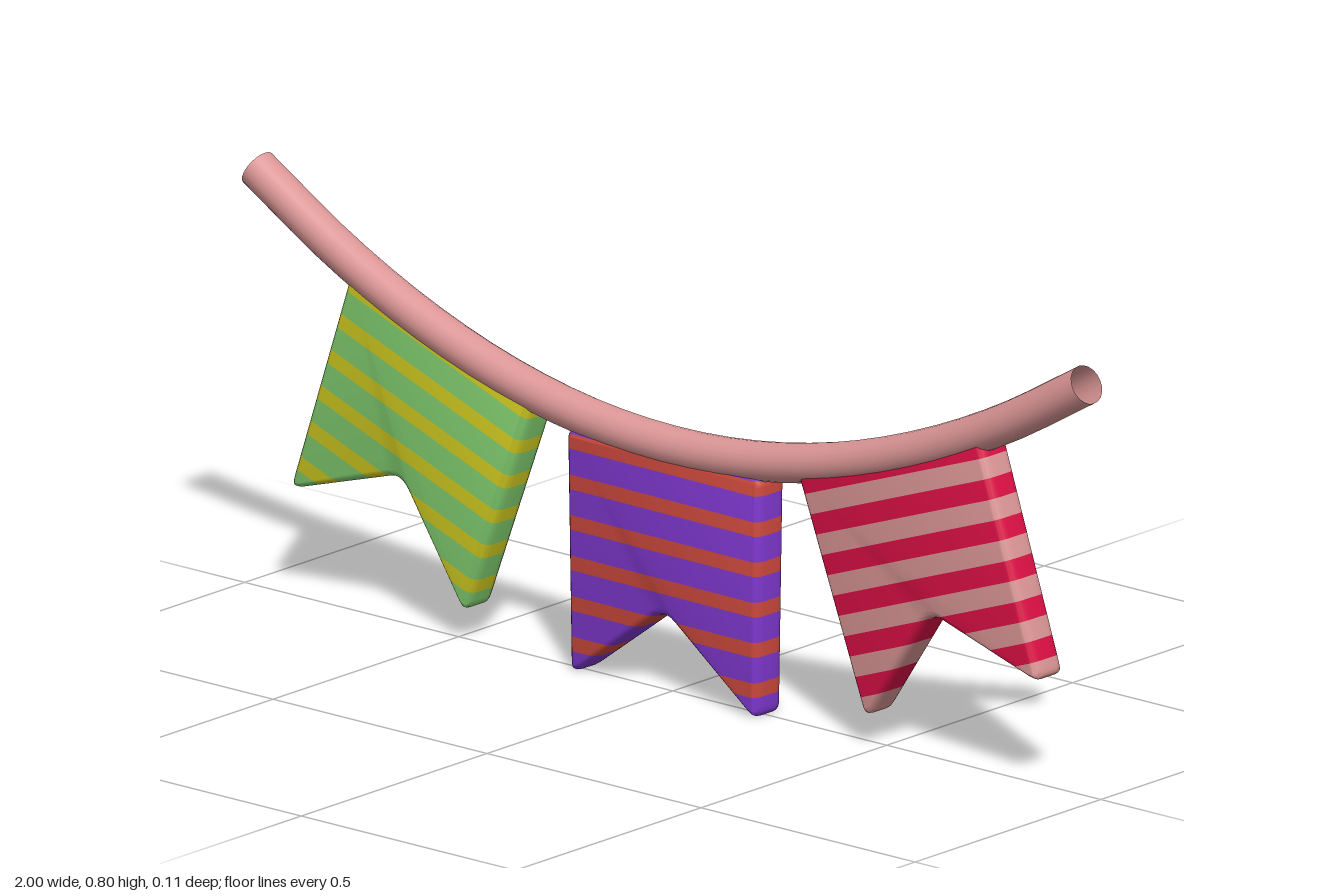
import * as THREE from 'three';
import { toCreasedNormals } from 'three/addons/utils/BufferGeometryUtils.js';

const mat = (name, color, extra = {}) => {
  const m = new THREE.MeshStandardMaterial({ color, ...extra });
  m.name = name;
  return m;
};

// Pennant outline with softly rounded corners: [x, y, rounding]
function flagShape() {
  const corners = [
    [0.23, 0.445, 0.02], [-0.23, 0.445, 0.02], [-0.221, -0.012, 0.03],
    [0, 0.152, 0.03], [0.221, -0.012, 0.03],
  ].map(([x, y, r]) => ({ p: new THREE.Vector2(x, y), r }));
  const shape = new THREE.Shape();
  corners.forEach(({ p, r }, i) => {
    const toward = (q) => q.clone().sub(p).setLength(r).add(p);
    const a = toward(corners[(i + 4) % 5].p);
    const b = toward(corners[(i + 1) % 5].p);
    if (i === 0) shape.moveTo(a.x, a.y);
    else shape.lineTo(a.x, a.y);
    shape.quadraticCurveTo(p.x, p.y, b.x, b.y);
  });
  shape.closePath();
  return shape;
}

// Keep the part of a polygon above (sign 1) or below (sign -1) a level
function clip(poly, level, sign) {
  const out = [];
  poly.forEach((a, i) => {
    const b = poly[(i + 1) % poly.length];
    const da = (a[1] - level) * sign;
    const db = (b[1] - level) * sign;
    if (da >= 0) out.push(a);
    if (da * db < 0) {
      const t = da / (da - db);
      out.push(a.map((v, k) => v + (b[k] - v) * t));
    }
  });
  return out;
}

// Cut a geometry into horizontal bands: group 0 is cloth, group 1 is stripes
function cutStripes(geo, width) {
  const P = geo.attributes.position;
  const N = geo.attributes.normal;
  const cuts = [-1];
  for (let k = 0; k < 6; k++) {
    const c = 0.05 + 0.0745 * k;
    cuts.push(c - width / 2, c + width / 2);
  }
  cuts.push(1);
  const groups = [[], []];
  for (let i = 0; i < P.count; i += 3) {
    const tri = [i, i + 1, i + 2].map((j) => [
      P.getX(j), P.getY(j), P.getZ(j), N.getX(j), N.getY(j), N.getZ(j)]);
    for (let b = 0; b < cuts.length - 1; b++) {
      const poly = clip(clip(tri, cuts[b], 1), cuts[b + 1], -1);
      for (let k = 1; k < poly.length - 1; k++) {
        groups[b % 2].push(poly[0], poly[k], poly[k + 1]);
      }
    }
  }
  const all = [...groups[0], ...groups[1]];
  const out = new THREE.BufferGeometry();
  out.setAttribute('position', new THREE.Float32BufferAttribute(all.flatMap((v) => v.slice(0, 3)), 3));
  out.setAttribute('normal', new THREE.Float32BufferAttribute(all.flatMap((v) => v.slice(3)), 3));
  out.addGroup(0, groups[0].length, 0);
  out.addGroup(groups[0].length, groups[1].length, 1);
  return out;
}

export function createModel() {
  const model = new THREE.Group();
  model.name = 'bunting';

  const pink = mat('pink', 0xdc9696, { side: THREE.DoubleSide });
  const crimson = mat('crimson', 0xdd1046);
  const purple = mat('purple', 0x8038d0);
  const orange = mat('orange red', 0xd04a3e);
  const green = mat('green', 0x82cf70);
  const yellow = mat('yellow', 0xd2cc20);

  // Sagging rope, an open tube
  const points = [];
  for (let i = -5; i <= 5; i++) {
    const t = i / 5;
    points.push(new THREE.Vector3(0.982 * t, 0.452 + 0.313 * t * t, 0.002));
  }
  const rope = new THREE.Mesh(
    new THREE.TubeGeometry(new THREE.CatmullRomCurve3(points), 32, 0.036, 20), pink);
  rope.name = 'rope';
  model.add(rope);

  // Thick cloth body shared by the flags
  const half = 0.037;
  const bevel = 0.02;
  const extruded = new THREE.ExtrudeGeometry(flagShape(), {
    depth: 2 * (half - bevel), curveSegments: 6, bevelEnabled: true,
    bevelThickness: bevel, bevelSize: 0.014, bevelOffset: -0.014, bevelSegments: 4,
  });
  extruded.translate(0, 0, bevel - half);
  const body = toCreasedNormals(extruded, 0.65);

  // Three striped flags hanging square to the rope
  const flags = [
    ['rightFlag', -0.675, 0.1325, -0.345, green, yellow, 0.028],
    ['middleFlag', 0, 0, 0, purple, orange, 0.027],
    ['leftFlag', 0.682, 0.1325, 0.345, pink, crimson, 0.037],
  ];
  for (const [name, x, y, turn, cloth, stripe, width] of flags) {
    const flag = new THREE.Mesh(cutStripes(body, width), [cloth, stripe]);
    flag.name = name;
    flag.position.set(x, y, -0.007);
    flag.rotation.z = turn;
    model.add(flag);
  }

  // The whole string hangs very slightly askew
  model.rotation.y = -0.0155;
  return model;
}
